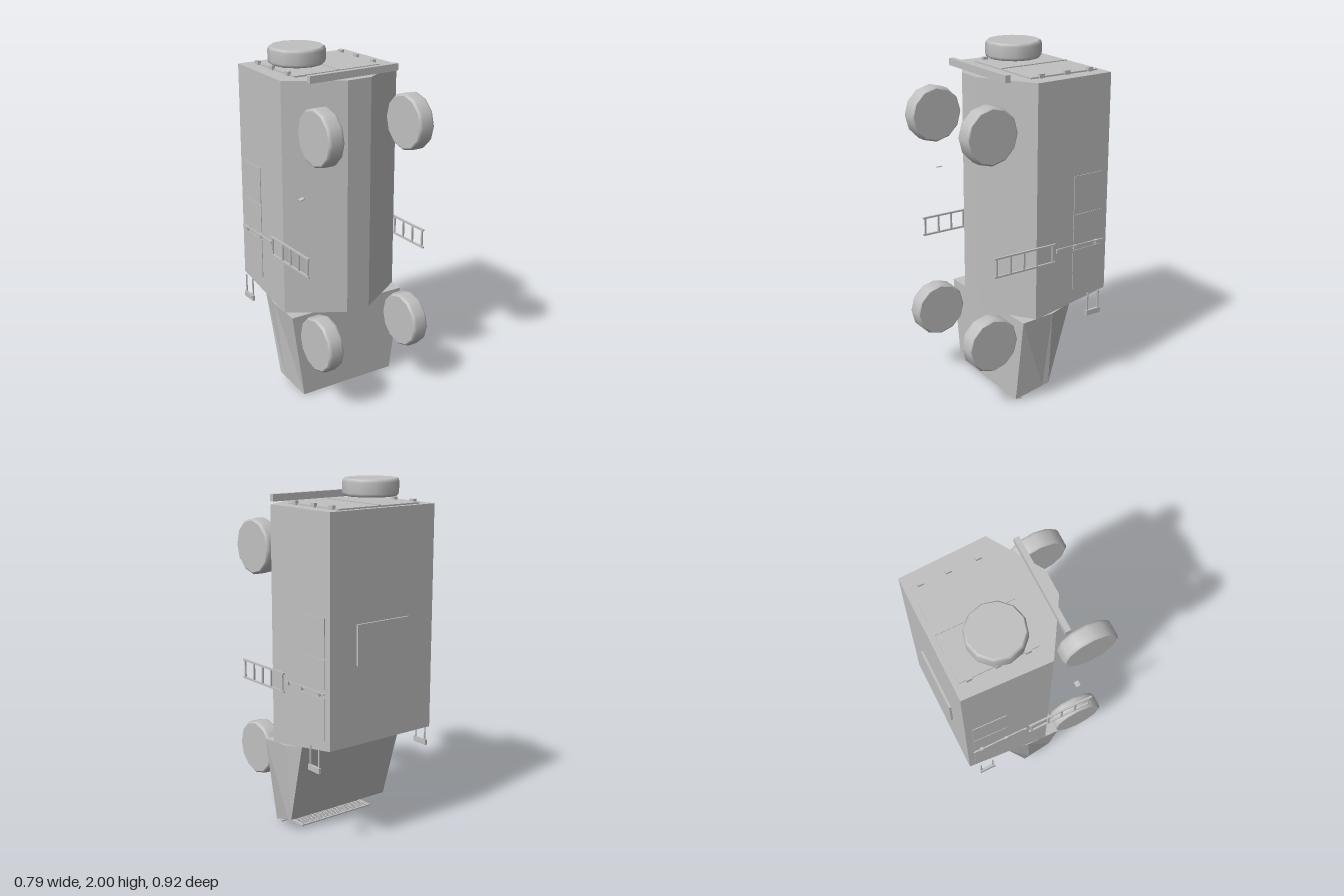
import * as THREE from 'three';

export function createModel() {
  const root = new THREE.Group();
  root.name = 'armouredTruck';
  const paint = new THREE.MeshStandardMaterial({ color: 0xc0c0c0 });
  paint.name = 'plainGrey';

  const add = (name, geo, parent = root) => {
    const mesh = new THREE.Mesh(geo, paint);
    mesh.name = name;
    parent.add(mesh);
    return mesh;
  };
  // Box given by its min and max on each axis
  const box = (name, x0, x1, y0, y1, z0, z1, parent) => {
    const geo = new THREE.BoxGeometry(x1 - x0, y1 - y0, z1 - z0);
    geo.translate((x0 + x1) / 2, (y0 + y1) / 2, (z0 + z1) / 2);
    return add(name, geo, parent);
  };
  // Faceted solid between a lower and an upper loop of [x, y, z] corners
  const solid = (name, low, high) => {
    const pos = [];
    const tri = (a, b, c) => pos.push(...a, ...b, ...c);
    const n = low.length;
    for (let i = 0; i < n; i++) {
      const j = (i + 1) % n;
      tri(low[i], high[i], high[j]);
      tri(low[i], high[j], low[j]);
      if (i > 0 && i < n - 1) {
        tri(low[0], low[i], low[i + 1]);
        tri(high[0], high[i + 1], high[i]);
      }
    }
    const geo = new THREE.BufferGeometry();
    geo.setAttribute('position', new THREE.Float32BufferAttribute(pos, 3));
    geo.computeVertexNormals();
    return add(name, geo);
  };

  // Hull, with a slanted windscreen end
  const plan = [[-0.378, 0.046], [-0.36, -0.45], [0.36, -0.45], [0.378, 0.046], [0.075, 0.232], [-0.075, 0.232]];
  solid('hull',
    plan.map(([x, z]) => [x, z < 0 ? 0.6 : 0.525, z]),
    plan.map(([x, z]) => [x, 1.87, z]));

  // Bonnet, tapering to the nose
  solid('bonnet',
    [[-0.338, 0.067, -0.032], [-0.345, 0.08, -0.07], [0.345, 0.08, -0.07],
      [0.338, 0.067, -0.032], [0.305, 0.012, 0.13], [-0.305, 0.012, 0.13]],
    [[-0.377, 0.535, -0.07], [-0.36, 0.56, -0.2], [0.36, 0.56, -0.2],
      [0.377, 0.535, -0.07], [0.378, 0.524, 0.13], [-0.378, 0.524, 0.13]]);

  // Radiator grille
  const grille = new THREE.Group();
  grille.name = 'grille';
  root.add(grille);
  box('grilleFrameFront', -0.3, 0.3, 0.005, 0.012, 0.085, 0.105, grille);
  box('grilleFrameRear', -0.25, 0.25, 0.012, 0.02, -0.055, -0.042, grille);
  for (const s of [-1, 1]) box('grilleFrameEnd', s * 0.25 - 0.006, s * 0.25 + 0.006, 0.01, 0.02, -0.055, 0.1, grille);
  for (let i = 0; i < 8; i++) {
    const z = -0.035 + i * 0.016;
    box('grilleSlat', -0.25, 0.25, 0.012, 0.019, z, z + 0.009, grille);
  }
  for (let i = 0; i < 17; i++) {
    const x = -0.24 + i * 0.03;
    box('grilleBar', x - 0.003, x + 0.003, 0.013, 0.018, -0.05, 0.095, grille);
  }

  // Wheels: twelve-sided drum with rounded shoulders and flat ends
  const wheel = (name, x, y, z, upright) => {
    const g = new THREE.Group();
    g.name = name;
    const tread = [[0.148, -0.048], [0.155, -0.043], [0.16, -0.03], [0.16, 0.03], [0.155, 0.043], [0.148, 0.048]];
    add('tyre', new THREE.LatheGeometry(tread.map(([r, h]) => new THREE.Vector2(r, h)), 12), g);
    for (const s of [-1, 1]) {
      const face = add('wheelFace', new THREE.CircleGeometry(0.148, 12), g);
      face.rotation.x = -s * Math.PI / 2;
      face.position.y = s * 0.048;
    }
    if (upright) g.rotation.z = Math.PI / 2;
    g.position.set(x, y, z);
    root.add(g);
  };
  for (const s of [-1, 1]) {
    wheel('frontWheel', s * 0.289, 0.415, 0.298, true);
    wheel('rearWheel', s * 0.289, 1.61, 0.298, true);
  }
  wheel('spareWheel', -0.153, 1.952, -0.157, false);

  // Rear doors, hinges and bumper
  box('rearDoorLeft', 0.003, 0.278, 1.865, 1.878, -0.417, 0.024);
  box('rearDoorRight', -0.278, -0.003, 1.865, 1.878, -0.417, 0.024);
  box('rearDoorStrip', -0.004, 0.004, 1.865, 1.883, -0.417, 0.024);
  for (const s of [-1, 1]) for (const z of [-0.365, -0.21, -0.044]) {
    box('rearDoorHinge', s * 0.279 - 0.01, s * 0.279 + 0.01, 1.865, 1.893, z - 0.016, z + 0.016);
  }
  box('rearBumper', -0.284, 0.284, 1.87, 1.91, 0.158, 0.188);

  // Roof hatch
  box('roofHatch', -0.182, 0.182, 1.045, 1.27, -0.462, -0.445);

  // Equipment on both flanks
  for (const s of [-1, 1]) {
    const flank = new THREE.Group();
    flank.name = s > 0 ? 'leftFlank' : 'rightFlank';
    root.add(flank);
    const side = (name, x0, x1, ...r) => box(name, Math.min(s * x0, s * x1), Math.max(s * x0, s * x1), ...r, flank);

    // Windows and door, lying on the slightly leaning wall
    for (const [name, y0, y1] of [['rearWindow', 1.105, 1.32], ['middleWindow', 0.935, 1.095], ['sideDoor', 0.65, 0.885]]) {
      const panel = add(name, new THREE.BoxGeometry(0.008, y1 - y0, 0.2), flank);
      panel.position.set(s * 0.3652, (y0 + y1) / 2, -0.31);
      panel.rotation.y = s * Math.atan2(0.018, 0.496);
    }

    // Door rail with brackets
    side('doorRail', 0.372, 0.379, 0.908, 0.918, -0.42, -0.1);
    for (const z of [-0.37, -0.217, -0.098]) side('railBracket', 0.364, 0.383, 0.895, 0.918, z - 0.01, z + 0.01);

    // Boarding ladder
    for (const y of [0.85, 0.955]) side('ladderRail', 0.381, 0.392, y - 0.005, y + 0.005, -0.074, 0.326);
    for (const z of [-0.058, 0.05, 0.135, 0.222, 0.312]) side('ladderRung', 0.382, 0.391, 0.85, 0.955, z - 0.005, z + 0.005);

    // Mirror on two arms
    for (const z of [-0.312, -0.388]) side('mirrorArm', 0.381, 0.388, 0.49, 0.605, z - 0.004, z + 0.004);
    side('mirror', 0.379, 0.395, 0.467, 0.498, -0.398, -0.3);
  }

  // Small loose plate
  const plate = box('smallPlate', -0.015, 0.015, -0.003, 0.003, -0.013, 0.013);
  plate.position.set(-0.365, 1.262, 0.222);
  plate.rotation.z = 0.3;

  return root;
}
